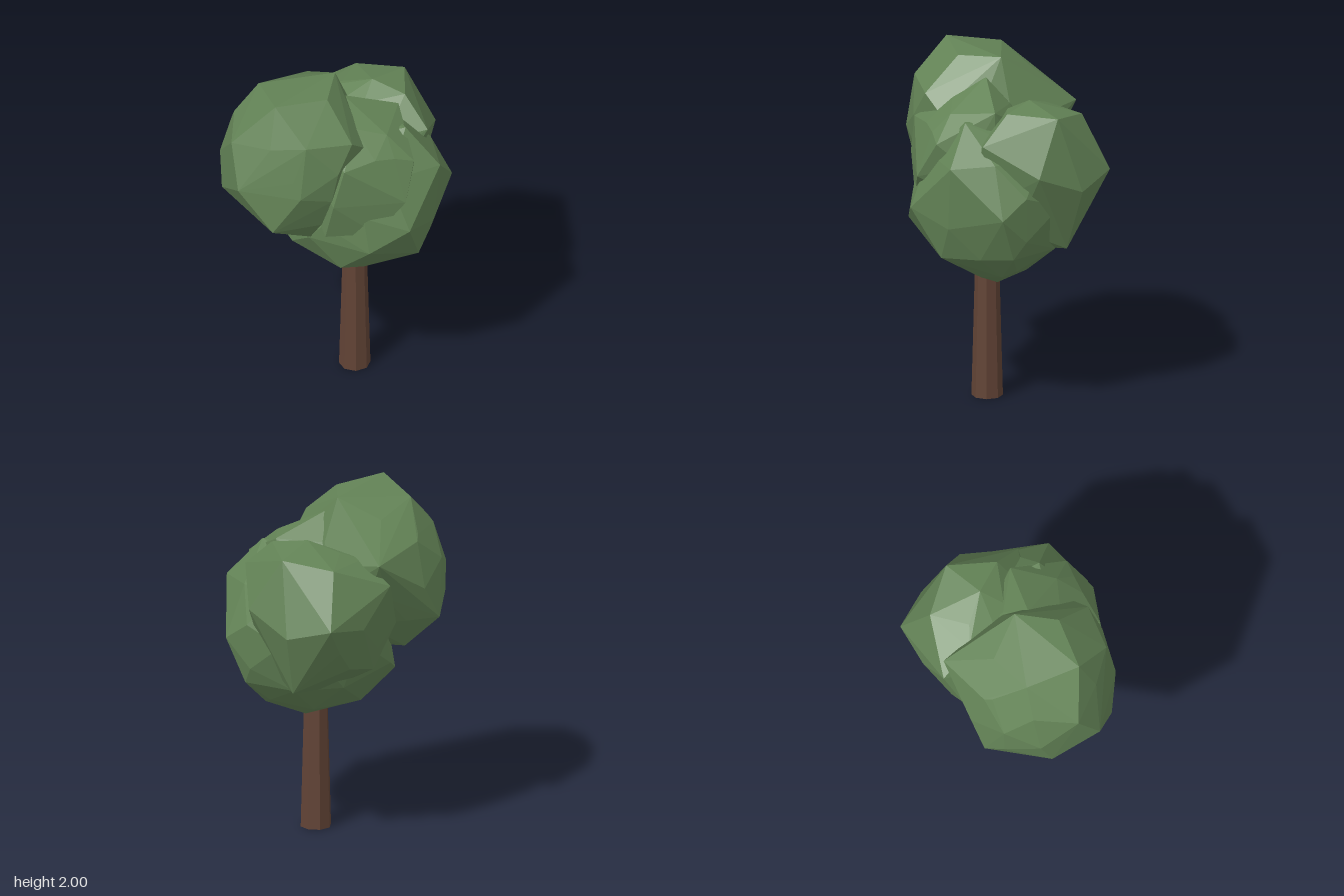
import * as THREE from 'three';
import { ConvexGeometry } from 'three/addons/geometries/ConvexGeometry.js';

const leafGreen = new THREE.MeshStandardMaterial({ color: 0x638356, flatShading: true });
leafGreen.name = 'leafGreen';
const barkBrown = new THREE.MeshStandardMaterial({ color: 0x614335, flatShading: true });
barkBrown.name = 'barkBrown';

// Faceted leaf clump: a rounded core with outer corners pulled out of it
function leafClump(name, center, radii, corners) {
  const core = new THREE.IcosahedronGeometry(1, 1);
  core.rotateX(0.4).rotateY(0.7);
  core.scale(...radii).translate(...center);
  const points = corners.map((c) => new THREE.Vector3(...c));
  const pos = core.attributes.position;
  for (let i = 0; i < pos.count; i++) {
    points.push(new THREE.Vector3().fromBufferAttribute(pos, i));
  }
  const mesh = new THREE.Mesh(new ConvexGeometry(points), leafGreen);
  mesh.name = name;
  return mesh;
}

export function createModel() {
  const tree = new THREE.Group();
  tree.name = 'tree';

  // Tapered eight-sided trunk, its top hidden in the foliage
  const trunk = new THREE.Mesh(new THREE.CylinderGeometry(0.069, 0.09, 0.8, 8), barkBrown);
  trunk.name = 'trunk';
  trunk.position.set(0.089, 0.4, -0.052);
  tree.add(trunk);

  // Four overlapping clumps make the crown
  const crown = new THREE.Group();
  crown.name = 'crown';
  crown.add(
    leafClump('frontClump', [-0.14, 1.53, 0.21], [0.42, 0.43, 0.43], [
      [-0.16, 1.49, 0.68], [0.04, 1.25, 0.61], [-0.07, 2.0, 0.46], [0.09, 1.98, 0.19],
      [-0.34, 1.95, 0.29], [-0.27, 1.74, 0.61], [0.31, 1.79, 0.23], [-0.59, 1.3, 0.18],
      [0.17, 1.82, 0.47], [-0.04, 1.99, -0.03], [0.11, 1.12, 0.36], [-0.16, 1.06, 0.2],
      [-0.38, 1.1, 0.15], [-0.43, 1.7, -0.24], [-0.49, 1.76, 0.1], [-0.56, 1.5, 0.06],
      [-0.56, 1.42, 0.3], [-0.41, 1.32, 0.53], [0.18, 1.5, 0.53], [0.3, 1.63, 0.34],
      [0.31, 1.7, 0.11], [0.27, 1.44, 0.36], [0.19, 1.24, 0.36]
    ]),
    leafClump('lowerClump', [0.1, 1.23, -0.13], [0.46, 0.49, 0.47], [
      [0.59, 1.21, 0.05], [0.56, 1.5, -0.25], [0.41, 1.22, -0.53], [0.37, 1.72, -0.17],
      [0.51, 0.93, -0.12], [0.24, 0.9, 0.25], [-0.08, 0.97, 0.3], [0.1, 0.7, -0.15],
      [-0.2, 0.8, -0.04], [0.25, 0.81, -0.35], [-0.3, 0.95, 0.18], [0.3, 0.96, -0.5],
      [0.44, 1.08, 0.23], [0.1, 1.11, 0.36], [-0.37, 1.04, 0.0]
    ]),
    leafClump('backClump', [-0.05, 1.35, -0.28], [0.39, 0.42, 0.35], [
      [-0.07, 1.33, -0.68], [-0.33, 1.4, -0.63], [0.21, 1.45, -0.62], [0.02, 1.76, -0.57],
      [-0.26, 1.71, -0.47], [0.0, 1.81, -0.31], [0.21, 1.78, -0.35], [0.39, 1.62, -0.34],
      [-0.28, 1.7, -0.17], [-0.48, 1.58, -0.2], [-0.45, 1.32, -0.08], [-0.05, 0.97, -0.57],
      [-0.33, 1.24, -0.52], [-0.38, 1.07, -0.22]
    ]),
    leafClump('sideClump', [0.13, 1.47, 0.0], [0.36, 0.34, 0.32], [
      [0.45, 1.64, 0.02], [0.51, 1.6, -0.08], [0.55, 1.39, 0.04], [0.44, 1.19, 0.17],
      [0.32, 1.64, 0.31], [0.29, 1.41, 0.37], [0.23, 1.18, 0.37], [0.05, 1.89, 0.0],
      [0.15, 1.82, -0.15], [0.23, 1.77, -0.27]
    ])
  );
  tree.add(crown);

  return tree;
}
